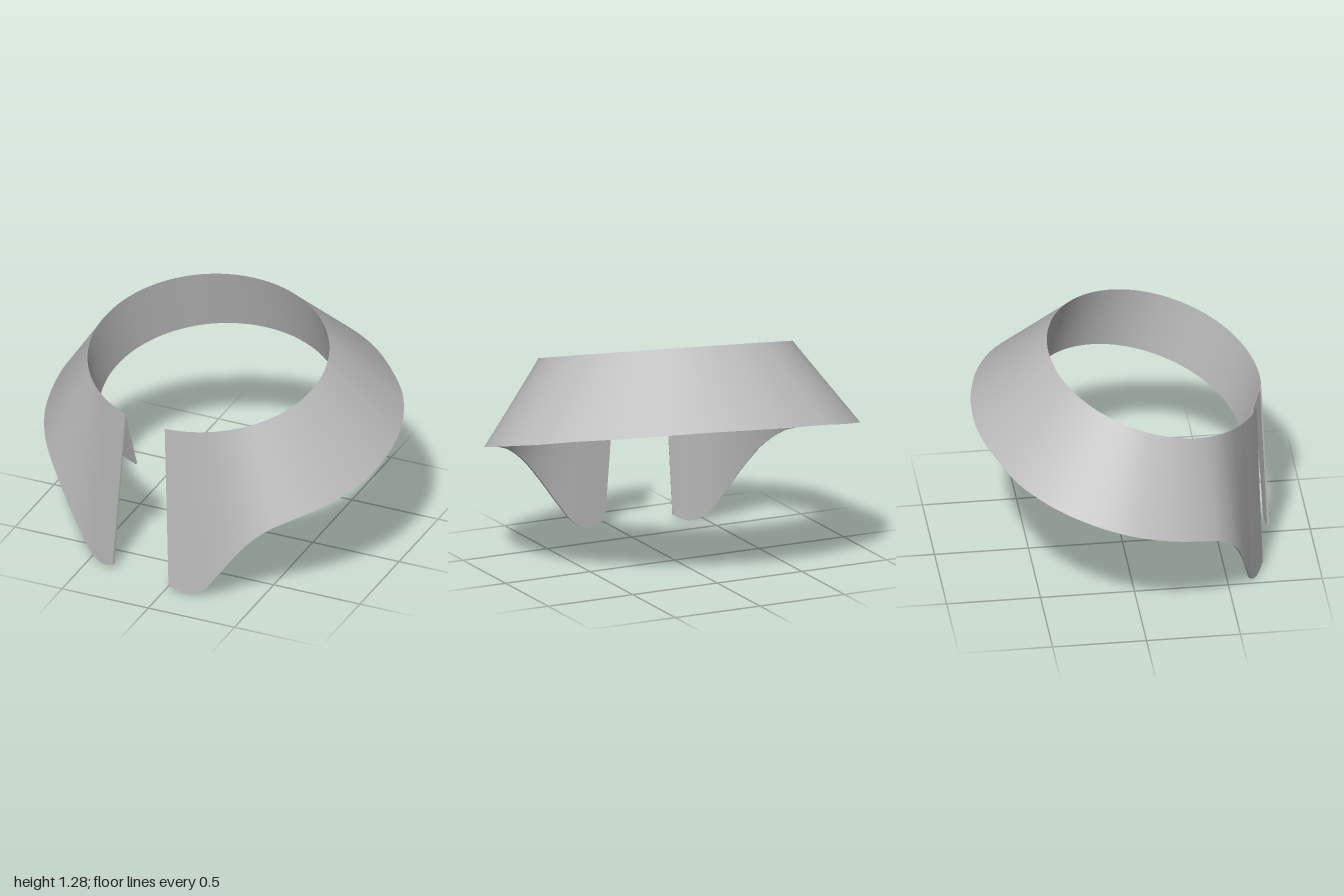
import * as THREE from 'three';
import { mergeGeometries } from 'three/addons/utils/BufferGeometryUtils.js';

const A = 0.677, B = 0.565;          // half width and half depth of the fold line
const SLOPE = 0.296;                 // forward tilt of the collar
const START = 0.193;                 // angle where the fold line ends at the gap
const THICK = 0.012;
const V = (x, y, z) => new THREE.Vector3(x, y, z);

// Free edge of the leaf on one side, from the front gap to the centre back
const EDGE = [
  [0.185, 0.03, 0.594], [0.272, 0, 0.572], [0.36, 0.03, 0.552], [0.459, 0.15, 0.537],
  [0.558, 0.29, 0.52], [0.653, 0.41, 0.488], [0.743, 0.49, 0.432], [0.826, 0.537, 0.346],
  [0.903, 0.575, 0.232], [0.969, 0.62, 0.073], [1.003, 0.668, -0.088], [0.99, 0.718, -0.27],
  [0.933, 0.768, -0.451], [0.809, 0.82, -0.638], [0.683, 0.853, -0.743],
  [0.446, 0.89, -0.882], [0.227, 0.91, -0.947], [0, 0.918, -0.967],
];

// Smooth band between two rows of points
function strip(a, b) {
  const n = a.length, index = [];
  for (let i = 0; i < n - 1; i++) {
    index.push(i, n + i + 1, n + i, i, i + 1, n + i + 1);
  }
  const g = new THREE.BufferGeometry().setFromPoints([...a, ...b]);
  g.setIndex(index);
  g.computeVertexNormals();
  return g;
}

// Flat four-sided end
function cap(p) {
  const g = new THREE.BufferGeometry().setFromPoints(p);
  g.setIndex([0, 1, 2, 0, 2, 3]);
  g.computeVertexNormals();
  return g;
}

// Shell from a list of rows, closed at both ends of the gap
function shell(name, rows, bands, material) {
  const last = rows[0].length - 1;
  const parts = bands.map(([i, j]) => strip(rows[i], rows[j]));
  parts.push(cap(rows.map(r => r[0])));
  parts.push(cap(rows.map(r => r[last]).reverse()));
  const mesh = new THREE.Mesh(mergeGeometries(parts), material);
  mesh.name = name;
  return mesh;
}

export function createModel() {
  const cloth = new THREE.MeshStandardMaterial({ color: 0xbbbbbb, side: THREE.DoubleSide });
  cloth.name = 'grey cloth';

  const right = EDGE.map(p => V(...p));
  const left = right.slice(0, -1).map(p => V(-p.x, p.y, p.z));
  const curve = new THREE.CatmullRomCurve3([...left, ...right.reverse()], false, 'centripetal');
  const steps = 34 * 5;
  const phi0 = Math.atan2(EDGE[0][0] / A, EDGE[0][2] / B);
  const down = V(0, -1, -SLOPE).normalize();

  const fold = [], edgeOut = [], edgeIn = [], crease = [], standOut = [], standIn = [];
  for (let i = 0; i <= steps; i++) {
    const e = curve.getPoint(i / steps);
    // matching point on the fold line
    let phi = Math.atan2(Math.abs(e.x) / A, e.z / B);
    phi -= (phi0 - START) * (Math.PI - phi) / (Math.PI - phi0);
    const s = Math.sin(phi) * (i < steps / 2 ? -1 : 1), c = Math.cos(phi);
    const r = V(A * s, 1.11 - SLOPE * B * c, B * c);
    const outward = V(s / A, 0, c / B).normalize();
    const leafDir = e.clone().sub(r).normalize();

    fold.push(r);
    edgeOut.push(e);
    edgeIn.push(e.clone().addScaledVector(outward, -THICK));
    crease.push(r.clone().addScaledVector(leafDir.add(down).normalize(), 0.04));
    const foot = r.clone().addScaledVector(down, 0.36);
    standIn.push(foot);
    standOut.push(foot.clone().addScaledVector(outward, THICK));
  }

  const collar = new THREE.Group();
  collar.name = 'collar';
  // Leaf that falls outside, and stand inside the neck
  collar.add(shell('collarLeaf', [fold, edgeOut, edgeIn, crease], [[0, 1], [1, 2], [2, 3]], cloth));
  collar.add(shell('collarStand', [fold, crease, standOut, standIn], [[1, 2], [2, 3], [3, 0]], cloth));
  collar.rotation.y = -0.222;
  collar.position.set(-0.03, 0, 0.165);

  const model = new THREE.Group();
  model.name = 'shirtCollar';
  model.add(collar);
  return model;
}
